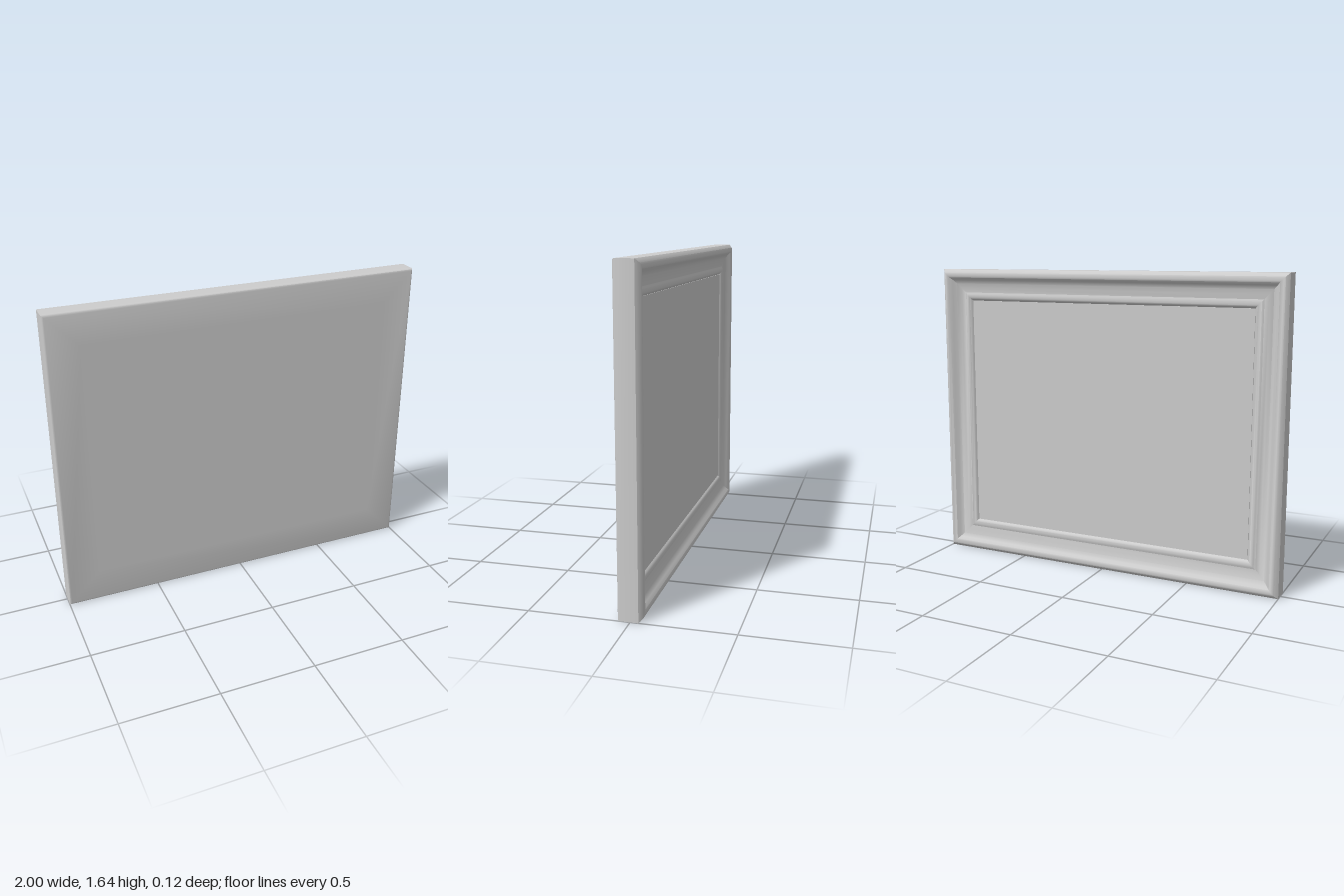
import * as THREE from 'three';
import { toCreasedNormals } from 'three/addons/utils/BufferGeometryUtils.js';

const HALF_W = 1, HALF_H = 0.82;

// Moulding section: [inset from the outer edge, z], from front inner edge round to back inner edge
const SECTION = [
  [0.175, 0.062], [0.012, 0.062], [0.004, 0.059], [0, 0.052],
  [0, -0.04], [0.006, -0.047], [0.018, -0.058], [0.026, -0.062], [0.038, -0.062], [0.046, -0.058],
  [0.06, -0.044], [0.08, -0.031], [0.105, -0.022], [0.13, -0.018],
  [0.14, -0.025], [0.15, -0.027], [0.16, -0.025], [0.168, -0.019], [0.175, -0.01],
];

// Sweeps the section round the rectangle with mitred corners
function mouldingGeometry() {
  const corners = [[-1, -1], [1, -1], [1, 1], [-1, 1]];
  const at = (k, j) => {
    const [sx, sy] = corners[k % 4];
    const [w, z] = SECTION[j];
    return [sx * (HALF_W - w), HALF_H + sy * (HALF_H - w), z];
  };
  const pos = [];
  for (let k = 0; k < 4; k++) {
    for (let j = 0; j < SECTION.length - 1; j++) {
      const a = at(k, j), b = at(k + 1, j), c = at(k + 1, j + 1), d = at(k, j + 1);
      pos.push(...a, ...d, ...c, ...a, ...c, ...b);
    }
  }
  const geo = new THREE.BufferGeometry();
  geo.setAttribute('position', new THREE.Float32BufferAttribute(pos, 3));
  return toCreasedNormals(geo, 0.7);
}

export function createModel() {
  const group = new THREE.Group();
  group.name = 'pictureFrame';
  const grey = new THREE.MeshStandardMaterial({ color: 0xcccccc });
  grey.name = 'plain grey';

  // Mitred moulding
  const frame = new THREE.Mesh(mouldingGeometry(), grey);
  frame.name = 'frameMoulding';
  group.add(frame);

  // Panel filling the opening, flush with the flat side and recessed on the moulded side
  const panel = new THREE.Mesh(new THREE.BoxGeometry(1.65, 1.29, 0.076), grey);
  panel.name = 'panel';
  panel.position.set(0, HALF_H, 0.024);
  group.add(panel);

  return group;
}
